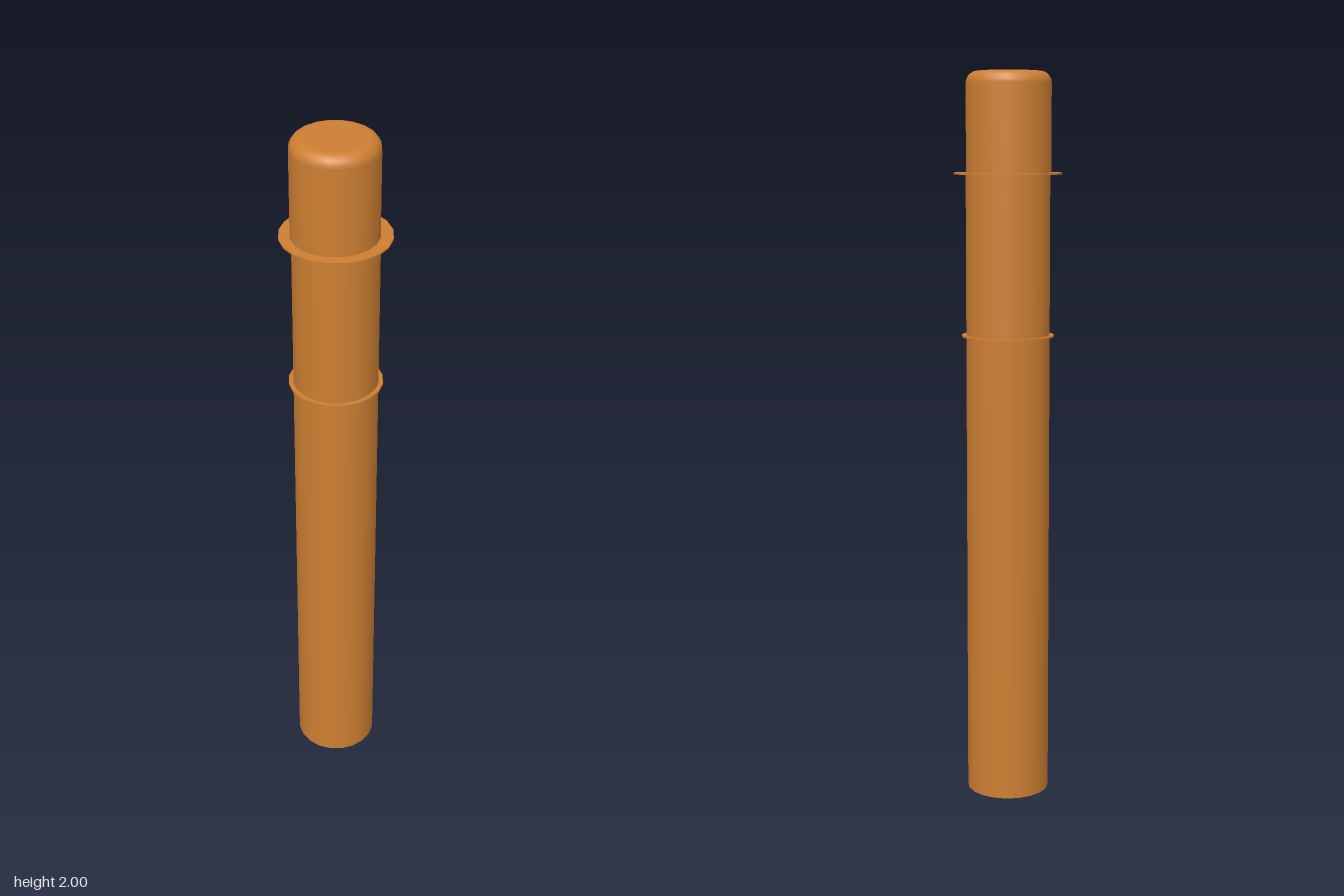
import * as THREE from 'three';

const SIDES = 20;

export function createModel() {
  const model = new THREE.Group();
  const bronze = new THREE.MeshStandardMaterial({ color: 0xcd7f32 });

  const add = (name, geometry, x, y) => {
    const mesh = new THREE.Mesh(geometry, bronze);
    mesh.name = name;
    mesh.position.set(x, y, 0);
    model.add(mesh);
  };
  // Upright cylinder placed by its bottom and top heights
  const cylinder = (name, radius, bottom, top) =>
    add(name, new THREE.CylinderGeometry(radius, radius, top - bottom, SIDES), 0, (bottom + top) / 2);

  // Shaft in two lengths, parted by thin collars
  cylinder('lowerShaft', 0.114, 0, 1.292);
  cylinder('upperShaft', 0.114, 1.292, 1.73);
  cylinder('lowerCollar', 0.126, 1.29, 1.295);
  cylinder('upperCollar', 0.146, 1.728, 1.733);

  // Cap wall and rounded shoulder, set slightly off centre
  const wall = [new THREE.Vector2(0.115, 0), new THREE.Vector2(0.115, 0.238)];
  const shoulder = [];
  for (let i = 0; i <= 5; i++) {
    const a = (i / 5) * Math.PI / 2;
    shoulder.push(new THREE.Vector2(0.085 + 0.03 * Math.cos(a), 0.238 + 0.032 * Math.sin(a)));
  }
  add('cap', new THREE.LatheGeometry([...wall, ...shoulder.slice(1)], SIDES), -0.003, 1.73);

  // Flat cap top
  const top = new THREE.CircleGeometry(0.085, SIDES).rotateX(-Math.PI / 2);
  add('capTop', top, -0.003, 2);

  return model;
}
